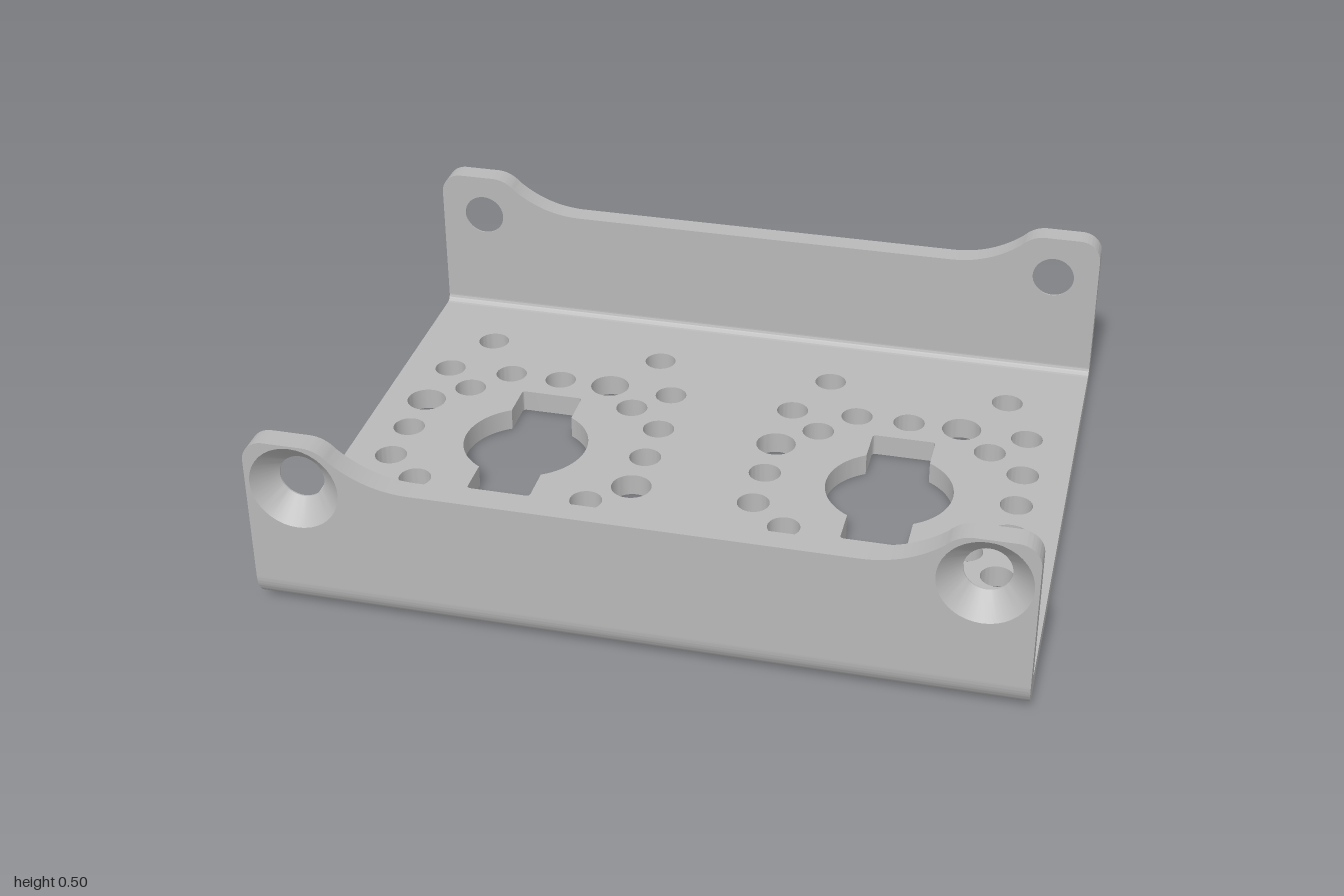
import * as THREE from 'three';
import { toCreasedNormals } from 'three/addons/utils/BufferGeometryUtils.js';

const T = 0.063;          // sheet thickness
const HALF_Z = 0.806;     // half depth of the channel
const R_OUT = 0.084;      // outer bend radius
const R_IN = R_OUT - T;
const BOLT = { x: 0.87, y: 0.375, inner: 0.06, outer: 0.118 };

const steel = new THREE.MeshStandardMaterial({ color: 0xb8b8b8 });
steel.name = 'grey steel';

function part(name, geometry) {
  const mesh = new THREE.Mesh(toCreasedNormals(geometry, 0.5), steel);
  mesh.name = name;
  return mesh;
}

function extrude(shape, depth) {
  return new THREE.ExtrudeGeometry(shape, { depth, bevelEnabled: false, curveSegments: 20 });
}

function circlePath(x, y, r) {
  return new THREE.Path().absarc(x, y, r, 0, Math.PI * 2, true);
}

// Round opening with a slot through it
function motorCutout(cx) {
  const r = 0.177, w = 0.09, h = 0.262, c = 0.012;
  const a = Math.acos(w / r);
  const p = new THREE.Path();
  p.absarc(cx, 0, r, -a, a, false);
  p.lineTo(cx + w, h - c);
  p.quadraticCurveTo(cx + w, h, cx + w - c, h);
  p.lineTo(cx - w + c, h);
  p.quadraticCurveTo(cx - w, h, cx - w, h - c);
  p.absarc(cx, 0, r, Math.PI - a, Math.PI + a, false);
  p.lineTo(cx - w, -h + c);
  p.quadraticCurveTo(cx - w, -h, cx - w + c, -h);
  p.lineTo(cx + w - c, -h);
  p.quadraticCurveTo(cx + w, -h, cx + w, -h + c);
  p.closePath();
  return p;
}

// Hole pattern around one cutout: a set repeated every quarter turn, plus outer corners
function holePattern(cx) {
  const small = 0.045, large = 0.056;
  const quarter = [
    [0, 0.35, small], [0.152, 0.35, large], [-0.152, 0.35, small],
    [0.34, 0.34, small], [0.246, 0.246, small],
  ];
  const holes = [];
  for (let k = 0; k < 4; k++) {
    for (let [x, y, r] of quarter) {
      for (let n = 0; n < k; n++) [x, y] = [-y, x];
      holes.push(circlePath(cx + x, y, r));
    }
  }
  for (const sx of [-1, 1]) {
    for (const sy of [-1, 1]) holes.push(circlePath(cx + sx * 0.262, sy * 0.523, small));
  }
  return holes;
}

function floorPlate() {
  const z = HALF_Z - R_OUT;
  const s = new THREE.Shape();
  s.moveTo(-1, -z);
  s.lineTo(1, -z);
  s.lineTo(1, z);
  s.lineTo(-1, z);
  s.closePath();
  for (const cx of [-0.522, 0.522]) s.holes.push(motorCutout(cx), ...holePattern(cx));
  return part('floorPlate', extrude(s, T).rotateX(-Math.PI / 2));
}

// Upright flange with raised, rounded ends
function wallPlate() {
  const s = new THREE.Shape();
  s.moveTo(-1, R_OUT);
  s.lineTo(1, R_OUT);
  s.lineTo(1, 0.44);
  s.absarc(0.94, 0.44, 0.06, 0, Math.PI / 2, false);
  s.lineTo(0.84, 0.5);
  s.quadraticCurveTo(0.8, 0.5, 0.77, 0.468);
  s.quadraticCurveTo(0.68, 0.397, 0.565, 0.397);
  s.lineTo(-0.565, 0.397);
  s.quadraticCurveTo(-0.68, 0.397, -0.77, 0.468);
  s.quadraticCurveTo(-0.8, 0.5, -0.84, 0.5);
  s.absarc(-0.94, 0.44, 0.06, Math.PI / 2, Math.PI, false);
  s.closePath();
  for (const side of [-1, 1]) s.holes.push(circlePath(side * BOLT.x, BOLT.y, BOLT.outer));
  return part('wall', extrude(s, T).translate(0, 0, HALF_Z - T));
}

// Quarter-round bend between floor and wall
function bend() {
  const s = new THREE.Shape();
  s.absarc(0, 0, R_OUT, -Math.PI / 2, 0, false);
  s.absarc(0, 0, R_IN, 0, -Math.PI / 2, true);
  s.closePath();
  const g = extrude(s, 2).rotateY(-Math.PI / 2).translate(1, R_OUT, HALF_Z - R_OUT);
  return part('bend', g);
}

// Conical seat facing outward, with the flat ring around its inner mouth
function countersink(side) {
  const profile = [
    [BOLT.outer, T], [BOLT.inner, 0.004], [BOLT.inner, 0], [BOLT.outer, 0],
  ].map(([x, y]) => new THREE.Vector2(x, y));
  const g = new THREE.LatheGeometry(profile, 40).rotateX(Math.PI / 2);
  g.translate(side * BOLT.x, BOLT.y, HALF_Z - T);
  return part('countersink', g);
}

export function createModel() {
  const model = new THREE.Group();
  model.name = 'channelBracket';
  model.add(floorPlate());
  for (const [name, turn] of [['frontFlange', 0], ['backFlange', Math.PI]]) {
    const flange = new THREE.Group();
    flange.name = name;
    flange.add(wallPlate(), bend(), countersink(-1), countersink(1));
    flange.rotation.y = turn;
    model.add(flange);
  }
  return model;
}
